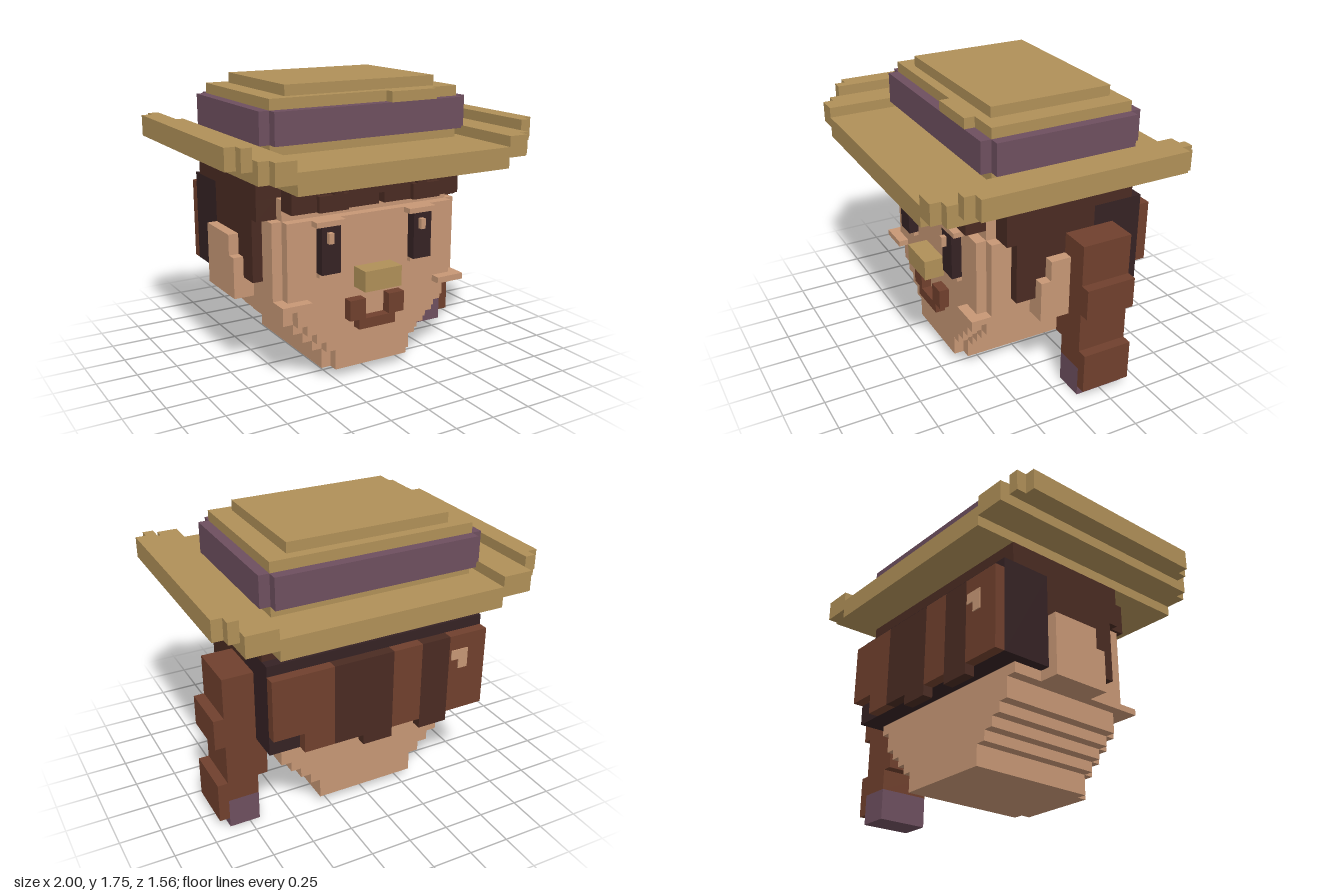
import * as THREE from 'three';

const U = 1 / 16; // one block

function material(name, color) {
  const m = new THREE.MeshStandardMaterial({ color });
  m.name = name;
  return m;
}

export function createModel() {
  const skin = material('skin', 0xc79775);
  const straw = material('straw', 0xb09058);
  const purple = material('purple', 0x6e4f5f);
  const hair = material('darkHair', 0x4a2b22);
  const brown = material('brownHair', 0x70402d);
  const dark = material('shadowHair', 0x352224);

  const model = new THREE.Group();
  model.name = 'head';

  function part(name) {
    const g = new THREE.Group();
    g.name = name;
    model.add(g);
    return g;
  }

  // Block given by its limits along x, y and z, counted in blocks
  function box(group, name, mat, x0, x1, y0, y1, z0, z1) {
    const geo = new THREE.BoxGeometry((x1 - x0) * U, (y1 - y0) * U, (z1 - z0) * U);
    const mesh = new THREE.Mesh(geo, mat);
    mesh.name = name;
    mesh.position.set((x0 + x1) * U / 2, (y0 + y1) * U / 2, (z0 + z1) * U / 2);
    group.add(mesh);
  }

  // The same block on both sides
  function pair(group, name, mat, x0, x1, ...rest) {
    box(group, name + 'Left', mat, x0, x1, ...rest);
    box(group, name + 'Right', mat, -x1, -x0, ...rest);
  }

  // Head: layers widening upward, each with a narrower front slab
  const head = part('face');
  for (const [w, y0, y1] of [[5, 1, 3], [6, 3, 4], [7, 4, 5], [8, 5, 6], [9, 6, 8], [10, 8, 16]]) {
    box(head, 'headLayer', skin, -w, w, y0, y1, -7.5, 5.5);
    box(head, 'faceLayer', skin, 1 - w, w - 1, y0, y1, 5.5, 6.5);
  }
  box(head, 'forehead', skin, -9, 9, 16, 18, -7.5, 5.5);
  pair(head, 'cheek', skin, 7, 10, 8, 8.6, 5.5, 7.5);
  pair(head, 'ear', skin, 10, 12, 8, 12, -4.5, 1.5);
  pair(head, 'earTop', skin, 10, 12, 12, 14, -4.5, 0.5);

  // Eyes
  const eyes = part('eyes');
  pair(eyes, 'eye', dark, 4, 6, 11, 15.5, 6.5, 7.5);
  pair(eyes, 'upperLid', skin, 3.5, 6.5, 15.5, 16, 6.5, 7.5);
  pair(eyes, 'lowerLid', skin, 4, 6, 10.6, 11, 6.5, 7);
  box(eyes, 'highlightLeft', skin, 4.5, 5, 14, 15, 7.5, 8);
  box(eyes, 'highlightRight', skin, -5.5, -5, 14, 15, 7.5, 8);

  // Nose and mouth
  box(head, 'nose', straw, -2, 2, 9, 11, 6.5, 8.5);
  box(head, 'mouth', brown, -2, 2, 5, 6, 6.5, 7.5);
  pair(head, 'mouthCorner', brown, 2, 3, 6, 8, 6.5, 7.5);
  pair(head, 'mouthSide', brown, 1.3, 2, 6, 8, 6.5, 7.5);

  // Hair on top, sides, fringe and brows
  const top = part('hair');
  box(top, 'hairTop', hair, -11, 11, 18, 20, -8.5, 4.5);
  pair(top, 'hairSide', hair, 9, 11, 16, 18, -4.5, 4.5);
  pair(top, 'hairTemple', hair, 10, 11, 14, 16, -4.5, 3.5);
  pair(top, 'hairByEar', hair, 10, 11, 12, 14, 0.5, 3.5);
  pair(top, 'sideburn', hair, 10, 11, 10, 12, 1.5, 3.5);
  box(top, 'fringe', hair, -9, 9, 18, 20, 5.5, 7.5);
  box(top, 'fringeRight', hair, -9, 0, 17, 18, 5.5, 7.5);
  box(top, 'fringeLeft', hair, 0.6, 9, 17, 18, 5.5, 7.5);
  pair(top, 'brow', hair, 3.5, 6.5, 17, 18.5, 7.5, 8);
  pair(top, 'browTop', hair, 4, 5, 18.5, 19, 7.5, 8);

  // Back hair with hanging strands
  const back = part('backHair');
  box(back, 'backHairBase', dark, -11, 11, 9, 18, -9.5, -4.5);
  const strands = [[8, 11, 11, brown], [5, 8, 9, brown], [2, 5, 9, hair], [-1, 2, 8, hair],
    [-4, -1, 9, brown], [-7, -4, 8, hair], [-11, -7, 9, brown]];
  for (const [x0, x1, y0, mat] of strands) box(back, 'strand', mat, x0, x1, y0, 17, -10.5, -9.5);
  box(back, 'strandPatch', skin, -9, -7.2, 14.5, 15.5, -10.6, -10.5);
  box(back, 'strandPatchLow', skin, -9, -8, 13.5, 14.5, -10.6, -10.5);

  // Braid on the left with a tied end
  const braid = part('braid');
  for (const [x0, x1, y0, y1] of [[11, 14, 12, 16], [11, 15, 9, 12], [10, 14, 5, 9], [11, 15, 3, 5], [14, 15, 1, 3]])
    box(braid, 'braidKnot', brown, x0, x1, y0, y1, -6.5, -1.5);
  box(braid, 'braidTie', purple, 11, 14, 0, 3, -6.5, -1.5);

  // Hat: stepped brim, band and crown
  const hat = part('hat');
  box(hat, 'brim', straw, -11, 11, 20, 22, -12.5, 12.5);
  pair(hat, 'brimMiddle', straw, 11, 13, 21, 23, -12.5, 12.5);
  pair(hat, 'brimMiddleEdge', straw, 13, 14, 21, 23, -12.5, 11.5);
  pair(hat, 'brimOuter', straw, 14, 15, 22, 24, -11.5, 10.5);
  pair(hat, 'brimOuterEdge', straw, 15, 16, 22, 24, -10.5, 9.5);
  box(hat, 'crownBase', straw, -10, 10, 22, 23, -8.5, 5.5);
  box(hat, 'band', purple, -10, 10, 23, 26, -9.5, 6.5);
  pair(hat, 'bandSide', purple, 10, 11, 23, 26, -8.5, 5.5);
  box(hat, 'crown', straw, -10, 10, 26, 27, -8.5, 5.5);
  box(hat, 'crownFold', straw, 2, 7, 26, 27, 5.5, 6.5);
  box(hat, 'crownTop', straw, -8, 8, 27, 28, -7.5, 4.5);

  return model;
}
